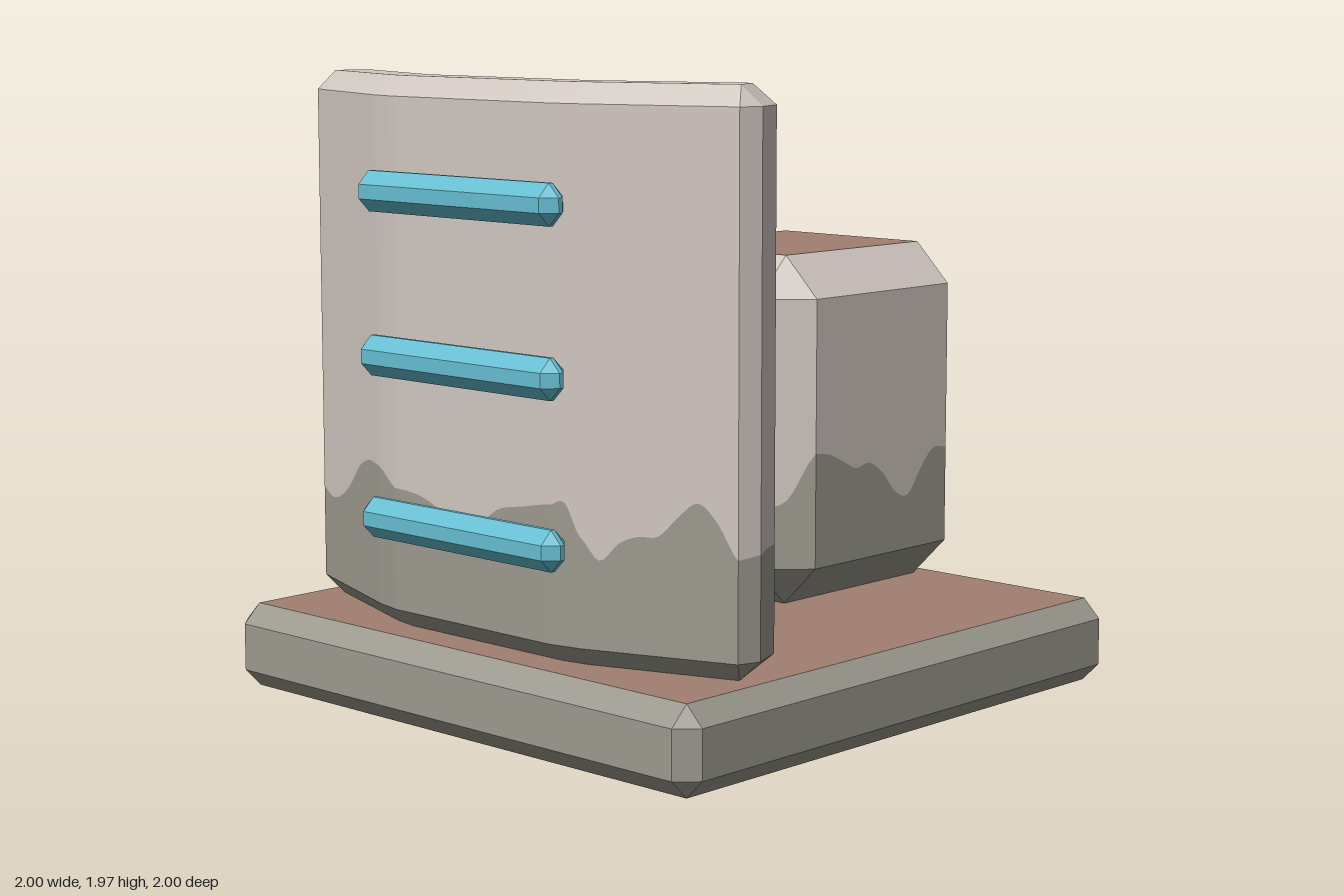
import * as THREE from 'three';
import { toCreasedNormals } from 'three/addons/utils/BufferGeometryUtils.js';

const flat = (name, color) => Object.assign(new THREE.MeshStandardMaterial({ color }), { name });

// Outline (x, z) of a box with cut corners, and the square its bevel runs in to.
function boxRings(x, z0, z1, c) {
  const outer = [[-x + c, z1], [x - c, z1], [x, z1 - c], [x, z0 + c],
    [x - c, z0], [-x + c, z0], [-x, z0 + c], [-x, z1 - c]];
  const xi = x - c, a = z0 + c, b = z1 - c;
  const inner = [[-xi, b], [xi, b], [xi, b], [xi, a], [xi, a], [-xi, a], [-xi, a], [-xi, b]];
  return { outer, inner };
}

// Upright solid with bevelled top and bottom. An optional list of heights for
// each wall draws the wavy line between its lower and upper colour.
// mats: [bottom cap, lower wall, upper wall, top cap]
function bevelSolid(name, { outer, inner }, y0, y1, bevel, mats, waves) {
  const parts = [[], [], [], []];
  const tri = (m, ...pts) => {
    const [a, b, c] = pts.map((p) => new THREE.Vector3(...p));
    if (b.clone().sub(a).cross(c.clone().sub(a)).length() > 1e-7) {
      for (const p of pts) parts[m].push(...p);
    }
  };
  const quad = (m, a, b, c, d) => { tri(m, a, b, c); tri(m, a, c, d); };
  const at = (p, y) => [p[0], y, p[1]];
  const lo = y0 + bevel, hi = y1 - bevel, n = outer.length;

  for (let i = 0; i < n; i++) {
    const j = (i + 1) % n;
    const a = outer[i], b = outer[j];
    quad(1, at(inner[i], y0), at(inner[j], y0), at(b, lo), at(a, lo));
    quad(2, at(a, hi), at(b, hi), at(inner[j], y1), at(inner[i], y1));
    if (!waves) {
      quad(1, at(a, lo), at(b, lo), at(b, hi), at(a, hi));
      continue;
    }
    const list = [...waves[i], waves[j][0]];
    const line = new THREE.SplineCurve(list.map((h, k) => new THREE.Vector2(k, h)));
    const steps = (list.length - 1) * 4;
    const mix = (t) => [a[0] + (b[0] - a[0]) * t, a[1] + (b[1] - a[1]) * t];
    for (let k = 0; k < steps; k++) {
      const t = k / steps, u = (k + 1) / steps;
      const p = mix(t), q = mix(u), hp = line.getPoint(t).y, hq = line.getPoint(u).y;
      quad(1, at(p, lo), at(q, lo), at(q, hq), at(p, hp));
      quad(2, at(p, hp), at(q, hq), at(q, hi), at(p, hi));
    }
  }

  // flat caps
  const rim = inner.filter((p, i) => {
    const q = inner[(i + 1) % n];
    return Math.hypot(p[0] - q[0], p[1] - q[1]) > 1e-6;
  });
  const shape = rim.map((p) => new THREE.Vector2(p[0], -p[1]));
  for (const f of THREE.ShapeUtils.triangulateShape(shape, [])) {
    let [a, b, c] = f.map((k) => rim[k]);
    const area = (b[0] - a[0]) * (a[1] - c[1]) - (a[1] - b[1]) * (c[0] - a[0]);
    if (area < 0) [b, c] = [c, b];
    tri(3, at(a, y1), at(b, y1), at(c, y1));
    tri(0, at(a, y0), at(c, y0), at(b, y0));
  }

  const geo = new THREE.BufferGeometry();
  geo.setAttribute('position', new THREE.Float32BufferAttribute(parts.flat(), 3));
  let start = 0;
  parts.forEach((p, m) => {
    geo.addGroup(start, p.length / 3, m);
    start += p.length / 3;
  });
  const mesh = new THREE.Mesh(toCreasedNormals(geo, 0.42), mats);
  mesh.name = name;
  return mesh;
}

export function createModel() {
  const pale = flat('pale panel', 0xd0c6c0);
  const grime = flat('grey stain', 0x9b998e);
  const brown = flat('brown plate', 0xa27f71);
  const violet = flat('violet beam', 0x69699a);
  const teal = flat('teal light', 0x66bdd1);
  const group = new THREE.Group();
  group.name = 'shieldEmplacement';

  // square base
  group.add(bevelSolid('base', boxRings(1, -1, 1, 0.06), 0, 0.27, 0.06,
    [brown, grime, grime, brown]));

  // rear block, stained around its foot
  group.add(bevelSolid('rearBlock', boxRings(0.42, -1, -0.08, 0.13), 0.27, 1.39, 0.13,
    [grime, grime, pale, brown], [
      [0.64, 0.7, 0.74, 0.66, 0.62],
      [0.6, 0.62],
      [0.77, 0.76, 0.73, 0.7, 0.71, 0.67, 0.6, 0.58, 0.66, 0.72],
      [0.715],
      [0.71, 0.66, 0.62, 0.68, 0.75, 0.72],
      [0.64, 0.62],
      [0.66, 0.74, 0.72, 0.64, 0.6, 0.66, 0.7, 0.68],
      [0.62, 0.6],
    ]));

  // beam between block and shield
  group.add(bevelSolid('beam', boxRings(0.16, -0.2, 0.76, 0.09), 0.74, 1.19, 0.09,
    [violet, violet, violet, violet]));

  // bent shield: right half of the outline from front to back, then mirrored
  const outerHalf = [[0.34, 0.88], [0.44, 0.858], [0.905, 0.69], [0.928, 0.62],
    [0.887, 0.515], [0.8, 0.49], [0.36, 0.65]];
  const innerHalf = [[0.33, 0.82], [0.42, 0.803], [0.87, 0.645], [0.87, 0.645],
    [0.82, 0.543], [0.82, 0.543], [0.35, 0.712]];
  const mirror = (half) => [...half, ...half.map(([x, z]) => [-x, z]).reverse()];
  group.add(bevelSolid('shield', { outer: mirror(outerHalf), inner: mirror(innerHalf) },
    0.27, 1.965, 0.06, [grime, grime, pale, pale], [
      [0.745, 0.755],
      [0.66, 0.595, 0.65, 0.675, 0.68, 0.74, 0.785, 0.73],
      [0.63],
      [0.64, 0.65],
      [0.65],
      [0.64, 0.62, 0.7, 0.74, 0.66],
      [0.62, 0.68, 0.74, 0.7, 0.62, 0.66],
      [0.72, 0.66, 0.6, 0.62, 0.68],
      [0.72],
      [0.7],
      [0.66],
      [0.62, 0.6, 0.62, 0.67, 0.74, 0.77],
      [0.765],
      [0.71, 0.7, 0.66, 0.62, 0.7, 0.725],
    ]));

  // three light bars across the shield
  for (const y of [0.62, 1.12, 1.62]) {
    group.add(bevelSolid('lightBar', boxRings(0.43, 0.87, 0.965, 0.04), y - 0.062, y + 0.062, 0.04,
      [teal, teal, teal, teal]));
  }
  return group;
}
